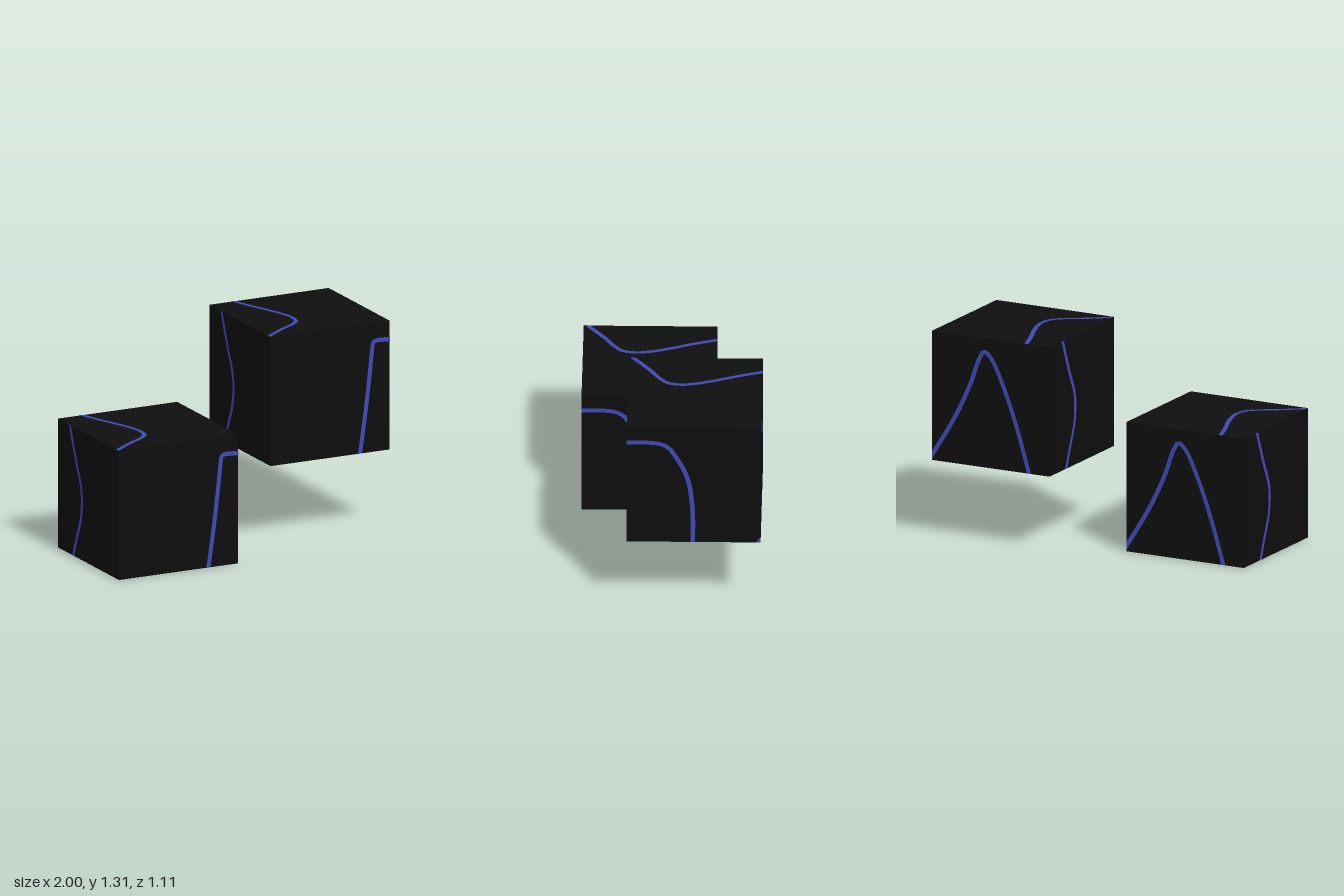
import * as THREE from 'three';

const SIZE = 0.814, H = SIZE / 2, STRIPE = 0.028, LIFT = 0.002;

const black = new THREE.MeshStandardMaterial({ name: 'black', color: 0x0e0e0e });
const blue = new THREE.MeshStandardMaterial({ name: 'indigo', color: 0x3f48b4 });

// Each face: its rotation and the stripe path in face coordinates (u right, v up)
const faces = {
  front: { rot: [0, 0], path: [[.203, -.407], [.241, -.144], [.267, .07], [.287, .25], [.293, .284], [.313, .294], [.407, .291]] },
  right: { rot: [0, Math.PI / 2], path: [[-.407, .295], [-.253, .295], [-.195, .284], [-.15, .257], [-.116, .209], [-.057, .098], [-.029, .009], [-.012, -.112], [-.005, -.216], [-.005, -.407]] },
  back: { rot: [0, Math.PI], path: [[-.407, -.374], [-.252, -.122], [-.141, .106], [-.081, .269], [-.045, .322], [0, .29], [.096, .1], [.192, -.163], [.266, -.407]] },
  left: { rot: [0, -Math.PI / 2], path: [[-.244, .407], [-.163, .203], [-.1, .065], [-.085, -.008], [-.095, -.138], [-.153, -.285], [-.2, -.407]] },
  top: { rot: [-Math.PI / 2, 0], path: [[-.246, .407], [-.198, .265], [-.139, .115], [-.102, -.003], [-.091, -.083], [-.107, -.158], [-.15, -.206], [-.267, -.281], [-.407, -.385]] },
  bottom: { rot: [Math.PI / 2, 0], path: [[.407, .005], [.1, .008], [-.09, .005], [-.128, -.008], [-.115, -.035], [.15, -.235], [.407, -.407]] },
};

// Flat ribbon following a smooth path, trimmed at the edges of the face
function ribbon(path) {
  const pts = path.map(([u, v]) => new THREE.Vector3(u, v, 0));
  const beyond = (a, b) => a.clone().add(a.clone().sub(b).setLength(0.03));
  pts.unshift(beyond(pts[0], pts[1]));
  pts.push(beyond(pts.at(-1), pts.at(-2)));
  const curve = new THREE.CatmullRomCurve3(pts, false, 'centripetal');
  const rows = 90;
  const geo = new THREE.PlaneGeometry(1, 1, 1, rows);
  const pos = geo.attributes.position;
  const clamp = (n) => THREE.MathUtils.clamp(n, -H, H);
  for (let i = 0; i <= rows; i++) {
    const p = curve.getPointAt(i / rows), t = curve.getTangentAt(i / rows);
    for (const [col, side] of [[0, 1], [1, -1]]) {
      const w = side * STRIPE / 2;
      pos.setXYZ(i * 2 + col, clamp(p.x + t.y * w), clamp(p.y - t.x * w), 0);
    }
  }
  return geo;
}

function createCube(name) {
  const cube = new THREE.Group();
  cube.name = name;
  const body = new THREE.Mesh(new THREE.BoxGeometry(SIZE, SIZE, SIZE), black);
  body.name = 'cubeBody';
  cube.add(body);

  for (const [side, { rot, path }] of Object.entries(faces)) {
    const face = new THREE.Group();
    face.name = side + 'Face';
    face.rotation.set(rot[0], rot[1], 0);
    const stripe = new THREE.Mesh(ribbon(path), blue);
    stripe.name = side + 'Stripe';
    stripe.position.z = H + LIFT;
    face.add(stripe);

    // Small corner where the back stripe wraps onto the right face
    if (side === 'right') {
      const shape = new THREE.Shape([[H, -H], [H, -.365], [.377, -H]].map(([u, v]) => new THREE.Vector2(u, v)));
      const corner = new THREE.Mesh(new THREE.ShapeGeometry(shape), blue);
      corner.name = 'cornerStripe';
      corner.position.z = H + LIFT;
      face.add(corner);
    }
    cube.add(face);
  }
  return cube;
}

export function createModel() {
  const model = new THREE.Group();
  model.name = 'stripedCubes';
  const lower = createCube('lowerCube');
  lower.position.set(-1 + H, H, 0.147);
  const upper = createCube('upperCube');
  upper.position.set(1 - H, 0.491 + H, -0.147);
  model.add(lower, upper);
  return model;
}
